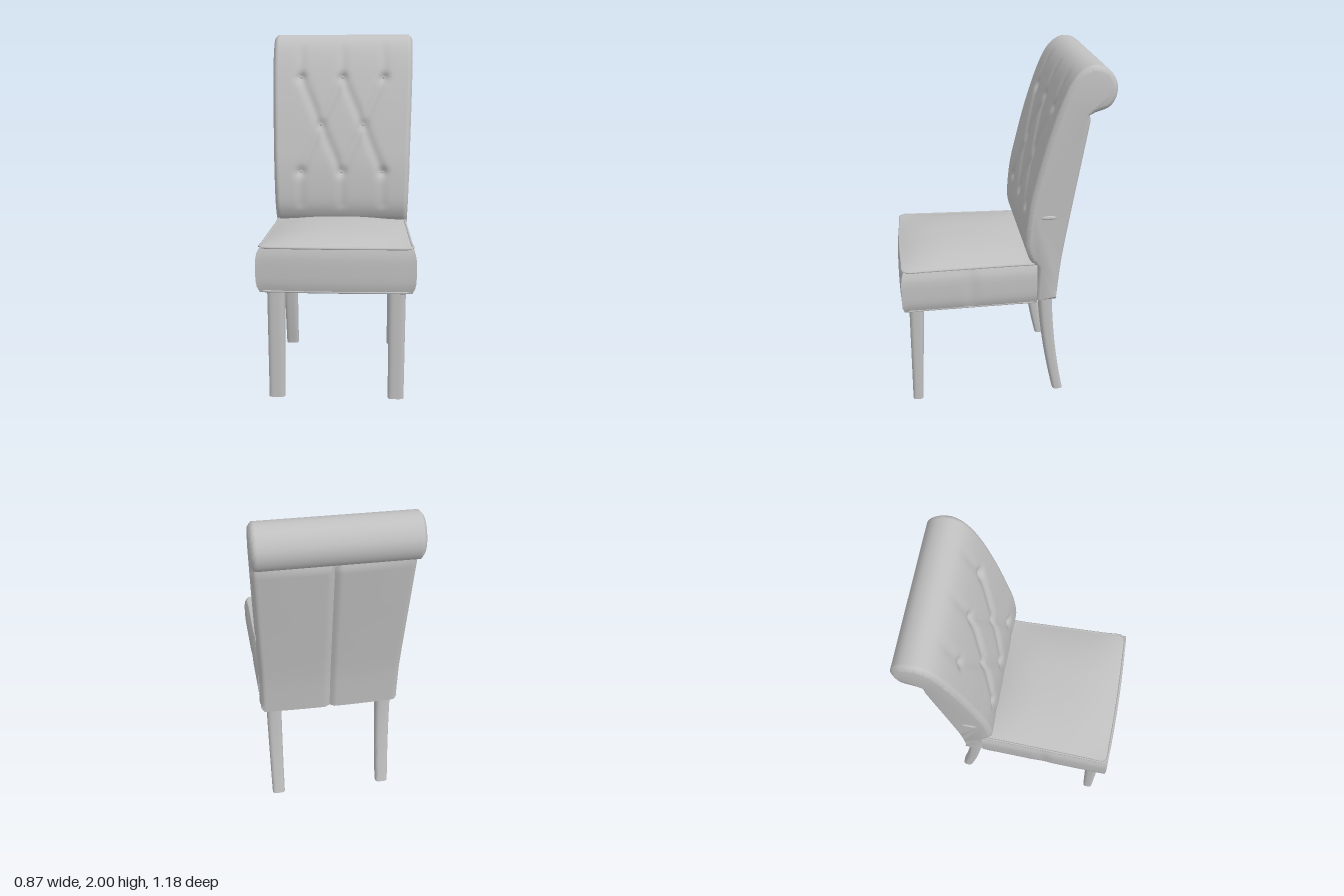
import * as THREE from 'three';
import { mergeGeometries, mergeVertices, toCreasedNormals } from 'three/addons/utils/BufferGeometryUtils.js';

const clamp = THREE.MathUtils.clamp;
const V2 = (p) => new THREE.Vector2(p[0], p[1]);

// Tufting buttons (x, y) and the pleats that join them
const buttons = [[-0.255, 1.74], [0, 1.74], [0.255, 1.74], [-0.13, 1.455], [0.13, 1.455],
  [-0.25, 1.17], [0, 1.17], [0.25, 1.17]];
const pleats = [[0, 3], [1, 3], [1, 4], [2, 4], [3, 5], [3, 6], [4, 6], [4, 7]]
  .map(([a, b]) => [buttons[a], buttons[b], 0.013]);
for (const i of [0, 1, 2]) pleats.push([buttons[i], [buttons[i][0], 1.93], 0.007]);
for (const i of [5, 6, 7]) pleats.push([buttons[i], [buttons[i][0], 0.98], 0.006]);

function segmentDistance(x, y, a, b) {
  const dx = b[0] - a[0], dy = b[1] - a[1];
  const t = clamp(((x - a[0]) * dx + (y - a[1]) * dy) / (dx * dx + dy * dy), 0, 1);
  return Math.hypot(x - a[0] - t * dx, y - a[1] - t * dy);
}

function tuftDepth(x, y) {
  let crease = 0, dimple = 0;
  for (const [a, b, depth] of pleats) {
    crease = Math.max(crease, depth * Math.exp(-((segmentDistance(x, y, a, b) / 0.028) ** 2)));
  }
  for (const [bx, by] of buttons) {
    dimple = Math.max(dimple, 0.018 * Math.exp(-((Math.hypot(x - bx, y - by) / 0.03) ** 2)));
  }
  return (crease + dimple) * clamp((1.98 - y) / 0.1, 0, 1);
}

// Half width of the backrest at a height
const backHalf = (y) => 0.387 + 0.025 * clamp((y - 0.9) / 0.9, 0, 1);

// Backrest outline as (z, y): up the front, over the scroll, down the back
const frontCurve = new THREE.SplineCurve([[-0.19, 0.85], [-0.145, 0.9], [-0.12, 1.0], [-0.135, 1.2],
  [-0.178, 1.4], [-0.23, 1.6], [-0.295, 1.8], [-0.35, 1.92], [-0.405, 1.98], [-0.47, 2.0], [-0.54, 1.975],
  [-0.583, 1.91], [-0.585, 1.84], [-0.55, 1.78], [-0.475, 1.75]].map(V2));
const rearCurve = new THREE.SplineCurve([[-0.46, 1.7], [-0.42, 1.45], [-0.38, 1.2], [-0.335, 0.9], [-0.31, 0.64]].map(V2));
const outline = [new THREE.Vector2(-0.19, 0.635), ...frontCurve.getSpacedPoints(120),
  new THREE.Vector2(-0.448, 1.735), ...rearCurve.getSpacedPoints(30)];

// Outline shrunk by a small distance, to round the edges
function insetOutline(d) {
  const n = outline.length;
  return outline.map((p, j) => {
    const t = outline[(j + 1) % n].clone().sub(outline[(j + n - 1) % n]).normalize();
    return new THREE.Vector2(p.x - t.y * d, p.y + t.x * d);
  });
}

function backrestGeometry() {
  const n = outline.length, cols = 64, rim = insetOutline(0.008), cap = insetOutline(0.024);
  const columns = [{ s: -1, pts: cap, out: 0.02 }, { s: -1, pts: rim, out: 0.008 }];
  for (let i = 0; i <= cols; i++) columns.push({ s: (i / cols) * 2 - 1, pts: outline, out: 0 });
  columns.push({ s: 1, pts: rim, out: 0.008 }, { s: 1, pts: cap, out: 0.02 });
  const pos = [], index = [];
  columns.forEach(({ s, pts, out }, i) => {
    pts.forEach((p, j) => {
      const x = s * (backHalf(outline[j].y) + out);
      let z = p.x;
      if (j > 0 && j < 95 && p.y > 0.95) z -= tuftDepth(x, p.y);
      // Centre seam and softly padded halves on the rear
      if (j > n - 32) z += 0.018 * Math.exp(-((x / 0.016) ** 2)) + 0.008 * s * s;
      pos.push(x, p.y, z);
      if (i < columns.length - 1) {
        const k = (j + 1) % n, a = i * n + j, b = a + n, c = (i + 1) * n + k, d = i * n + k;
        index.push(a, b, c, a, c, d);
      }
    });
  });
  const skin = new THREE.BufferGeometry();
  skin.setAttribute('position', new THREE.Float32BufferAttribute(pos, 3));
  skin.setIndex(index);
  // Side faces close both ends
  const sides = [1, -1].map((s) => {
    const g = new THREE.ShapeGeometry(new THREE.Shape(cap.map((p) => new THREE.Vector2(-p.x, p.y))));
    g.rotateY(Math.PI / 2);
    const a = g.attributes.position;
    for (let i = 0; i < a.count; i++) a.setX(i, s * (backHalf(a.getY(i)) + 0.02));
    if (s < 0) g.index.array.reverse();
    g.deleteAttribute('normal');
    g.deleteAttribute('uv');
    return g;
  });
  return toCreasedNormals(mergeGeometries([skin, ...sides]), 0.8);
}

// Seat rim position for u, w in -1..1
const seatX = (u, w) => u * (0.401 + 0.012 * w);
const seatZ = (u, w) => 0.19 + 0.378 * w + (w > 0 ? 0.012 * w * (1 - u * u) : 0);

function seatGeometry() {
  const g = new THREE.BoxGeometry(2, 2, 2, 32, 8, 32);
  g.deleteAttribute('normal');
  g.deleteAttribute('uv');
  const p = g.attributes.position;
  for (let i = 0; i < p.count; i++) {
    const u = p.getX(i), v = p.getY(i), w = p.getZ(i);
    const bulge = 1 - v ** 4;
    let x = seatX(u, w), y = 0.745 + 0.125 * v, z = seatZ(u, w);
    if (Math.abs(u) > 0.999) x += Math.sign(u) * bulge * (0.022 - 0.008 * Math.exp(-((w / 0.08) ** 2)));
    if (w > 0.999) z += 0.014 * bulge;
    if (v > 0.999) y += 0.058 * (1 - Math.abs(u) ** 2.6) * (1 - Math.abs(w) ** 3);
    // Recessed base board
    if (v < -0.999 && Math.abs(u) < 0.88 && Math.abs(w) < 0.88) y += 0.02;
    p.setXYZ(i, x, y, z);
  }
  return toCreasedNormals(mergeVertices(g), 0.7);
}

// Piping that follows the seat rim
function pipingGeometry(y) {
  const pts = [];
  const corners = [[-1, -1], [1, -1], [1, 1], [-1, 1]];
  corners.forEach(([u, w], k) => {
    const [u2, w2] = corners[(k + 1) % 4];
    for (let i = 0; i < 8; i++) {
      const t = 0.02 + 0.96 * (i / 7), a = u + (u2 - u) * t, b = w + (w2 - w) * t;
      pts.push(new THREE.Vector3(seatX(a, b), y, seatZ(a, b)));
    }
  });
  return new THREE.TubeGeometry(new THREE.CatmullRomCurve3(pts, true), 96, 0.007, 6, true);
}

// Soft-square leg; center(t) and half(t) run from floor (0) to top (1)
function legGeometry(center, half) {
  const g = new THREE.CylinderGeometry(1, 1, 1, 24, 12);
  g.deleteAttribute('normal');
  g.deleteAttribute('uv');
  const p = g.attributes.position;
  for (let i = 0; i < p.count; i++) {
    const t = p.getY(i) + 0.5, x = p.getX(i), z = p.getZ(i);
    const r = Math.hypot(x, z) < 0.01 ? 0 : 1 / (x ** 4 + z ** 4) ** 0.25;
    const [hx, hz] = half(t);
    p.setXYZ(i, x * r * hx, t * 0.66, center(t) + z * r * hz);
  }
  return toCreasedNormals(mergeVertices(g), 0.8);
}

export function createModel() {
  const model = new THREE.Group();
  const grey = new THREE.MeshStandardMaterial({ color: 0xc0c0c0 });
  grey.name = 'plain grey';
  const add = (name, geometry, x = 0, y = 0, z = 0) => {
    const mesh = new THREE.Mesh(geometry, grey);
    mesh.name = name;
    mesh.position.set(x, y, z);
    model.add(mesh);
    return mesh;
  };

  add('backrest', backrestGeometry());
  add('seat', seatGeometry());
  add('upperPiping', pipingGeometry(0.87));
  add('lowerPiping', pipingGeometry(0.627));

  // Buttons sit at the bottom of the dimples
  const front = outline.slice(1, 80);
  for (const [x, y] of buttons) {
    const near = front.reduce((a, b) => (Math.abs(b.y - y) < Math.abs(a.y - y) ? b : a));
    add('tuftButton', new THREE.SphereGeometry(0.008, 10, 8), x, y, near.x - tuftDepth(x, y));
  }

  const frontLeg = legGeometry((t) => 0.512 - 0.013 * t, (t) => [0.044 + 0.005 * t, 0.03 + 0.013 * t]);
  const rearLeg = legGeometry((t) => -0.335 + 0.15 * t - 0.06 * t * t, (t) => [0.038 + 0.006 * t, 0.03 + 0.01 * t]);
  for (const s of [-1, 1]) {
    add('frontLeg', frontLeg, s * 0.332);
    add('rearLeg', rearLeg, s * 0.33);
    // Pinched fold on each side of the backrest
    add('sideFold', new THREE.SphereGeometry(1, 12, 8), s * 0.414, 1.16, -0.245).scale.set(0.008, 0.012, 0.045);
  }
  return model;
}
